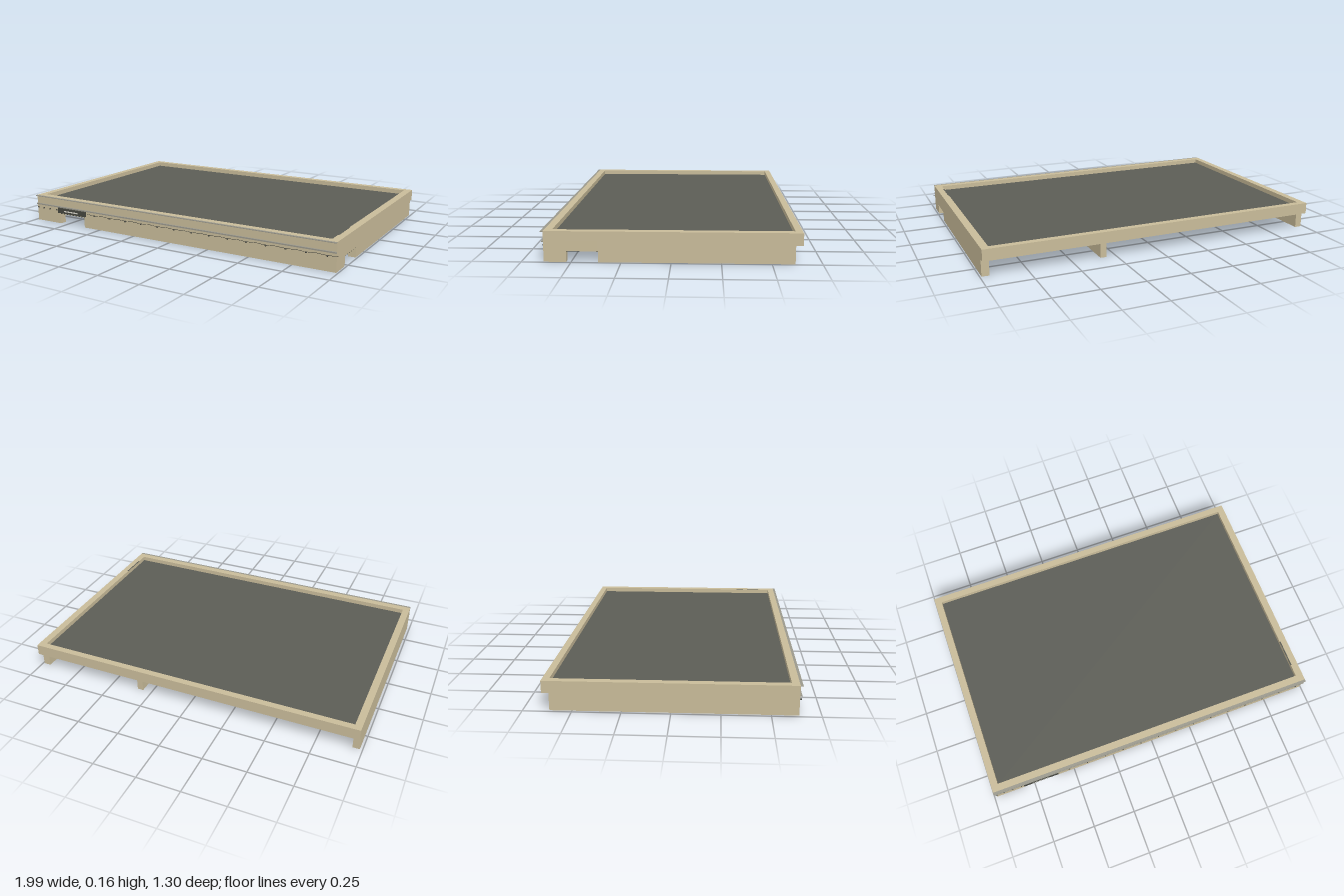
import * as THREE from 'three';

const mat = (name, color) => {
  const m = new THREE.MeshStandardMaterial({ color });
  m.name = name;
  return m;
};

export function createModel() {
  const tan = mat('tan plaster', 0xc8bb99);
  tan.side = THREE.DoubleSide;
  const grey = mat('dark roofing', 0x5c5d56);
  const trim = mat('grey trim', 0x9a988c);
  const dark = mat('charcoal fittings', 0x45463f);
  const pale = mat('pale sign stripe', 0xd8d6cc);

  const root = new THREE.Group();
  root.name = 'flatRoofBuilding';

  const add = (name, geo, material, x = 0, y = 0, z = 0, parent = root) => {
    const m = new THREE.Mesh(geo, material);
    m.name = name;
    m.position.set(x, y, z);
    parent.add(m);
    return m;
  };
  // box given by its minimum and maximum corners
  const block = (name, material, a, b, parent = root) =>
    add(name, new THREE.BoxGeometry(b[0] - a[0], b[1] - a[1], b[2] - a[2]), material,
      (a[0] + b[0]) / 2, (a[1] + b[1]) / 2, (a[2] + b[2]) / 2, parent);

  const R = -0.985, L = 0.991, RI = -0.945, LI = 0.949;
  const BACK = -0.652, BI = -0.615, FI = 0.598, FRONT = 0.638;
  const CEIL = 0.11, ROOF = 0.132, TOP = 0.158;

  // hollow wall, open at the ground, with door notches;
  // runs along 'x' or 'z', "at" is its low side across
  const wall = (name, axis, from, to, at, thick, doors = []) => {
    const g = new THREE.Group();
    g.name = name;
    const put = (part, m, u0, u1, y0, y1, inset = 0) => axis === 'x'
      ? block(part, m, [u0, y0, at + inset], [u1, y1, at + thick - inset], g)
      : block(part, m, [at + inset, y0, u0], [at + thick - inset, y1, u1], g);
    const panel = (u0, u1) => {
      const geo = put('wallPanel', tan, u0, u1, 0, CEIL).geometry;
      geo.setIndex([...geo.index.array].filter((_, i) => i < 18 || i >= 24));
      geo.clearGroups();
    };
    let u = from;
    for (const [d0, d1, h] of doors) {
      panel(u, d0);
      put('lintel', tan, d0, d1, h, CEIL);
      put('raisedShutter', dark, d0, d1, h - 0.002, h, 0.001);
      u = d1;
    }
    panel(u, to);
    root.add(g);
  };

  // outer walls, with the back left open
  wall('frontWall', 'x', R, L, FI, FRONT - FI, [[-0.8, -0.613, 0.062]]);
  wall('leftWall', 'z', BI, FI, LI, L - LI, [[0.365, 0.525, 0.056]]);
  wall('rightWall', 'z', BI, FI, R, RI - R);

  // inner partitions
  wall('longPartition', 'z', BI, FI, 0.305, 0.035,
    [[-0.22, -0.05, 0.056], [0.215, 0.37, 0.056]]);
  wall('crossPartition', 'x', 0.34, LI, 0.13, 0.035, [[0.4, 0.56, 0.056]]);
  wall('porchSidePartition', 'z', 0.215, FI, -0.48, 0.038);
  wall('porchBackPartition', 'x', RI, -0.48, 0.215, 0.038, [[-0.78, -0.6, 0.062]]);

  // roof slab, rear beam and parapet ring
  block('roofSlab', tan, [R, CEIL, BACK], [L, ROOF - 0.004, FRONT]);
  block('rearBeam', tan, [R, 0.094, BACK], [L, CEIL, BI]);
  const points = list => list.map(p => new THREE.Vector2(...p));
  const ring = new THREE.Shape(points([[R, -FRONT], [L, -FRONT], [L, -BACK], [R, -BACK]]));
  ring.holes.push(new THREE.Path(points([[RI, -FI], [RI, -BI], [LI, -BI], [LI, -FI]])));
  const parapet = new THREE.ExtrudeGeometry(ring, { depth: TOP - ROOF + 0.004, bevelEnabled: false });
  parapet.rotateX(-Math.PI / 2);
  add('parapet', parapet, tan, 0, ROOF - 0.004, 0);
  block('roofSurface', grey, [RI, ROOF - 0.004, BI], [LI, ROOF, FI]);
  block('shutterSlot', grey, [LI - 0.001, TOP - 0.001, 0.365], [LI + 0.005, TOP + 0.001, 0.525]);

  // trim along the front
  block('upperTrim', trim, [R, TOP - 0.004, FRONT], [L, TOP, FRONT + 0.014]);
  block('lowerTrim', trim, [R, 0.101, FRONT], [L, 0.108, FRONT + 0.01]);

  // blank sign above the entrance
  block('signBoard', dark, [-0.81, 0.068, FRONT], [-0.598, 0.099, FRONT + 0.012]);
  block('signStripe', pale, [-0.76, 0.079, FRONT + 0.012], [-0.655, 0.086, FRONT + 0.013]);

  // small lamps right of the entrance
  const bulb = new THREE.SphereGeometry(0.005, 8, 6);
  for (const x of [-0.975, -0.93, -0.88, -0.825]) add('frontLamp', bulb, dark, x, 0.084, FRONT + 0.006);

  // sagging wire with bulbs left of the entrance
  const start = -0.585, spans = 14, step = (1 - start) / spans;
  const pts = [];
  for (let i = 0; i <= spans * 4; i++) {
    const t = (i % 4) / 4;
    pts.push(new THREE.Vector3(start + i * step / 4, 0.087 - 0.012 * t * (1 - t), FRONT + 0.004));
  }
  add('lightWire', new THREE.TubeGeometry(new THREE.CatmullRomCurve3(pts), 160, 0.0013, 5), dark);
  for (let i = 0; i < spans; i++) {
    add('wireBulb', bulb, dark, start + (i + 0.5) * step, 0.082, FRONT + 0.006);
  }

  // ceiling lamps: a plate with two tubes
  const tube = new THREE.CylinderGeometry(0.003, 0.003, 0.09, 8);
  tube.rotateZ(Math.PI / 2);
  for (const [x, z] of [[0.66, -0.25], [-0.053, -0.42], [-0.35, -0.42], [-0.053, -0.07],
    [-0.35, -0.07], [-0.71, -0.26], [-0.71, 0.04]]) {
    const lamp = new THREE.Group();
    lamp.name = 'ceilingLamp';
    lamp.position.set(x, CEIL, z);
    add('lampPlate', new THREE.BoxGeometry(0.09, 0.004, 0.032), tan, 0, -0.002, 0, lamp);
    for (const s of [-1, 1]) add('lampTube', tube, trim, 0, -0.005, s * 0.009, lamp);
    root.add(lamp);
  }
  return root;
}
